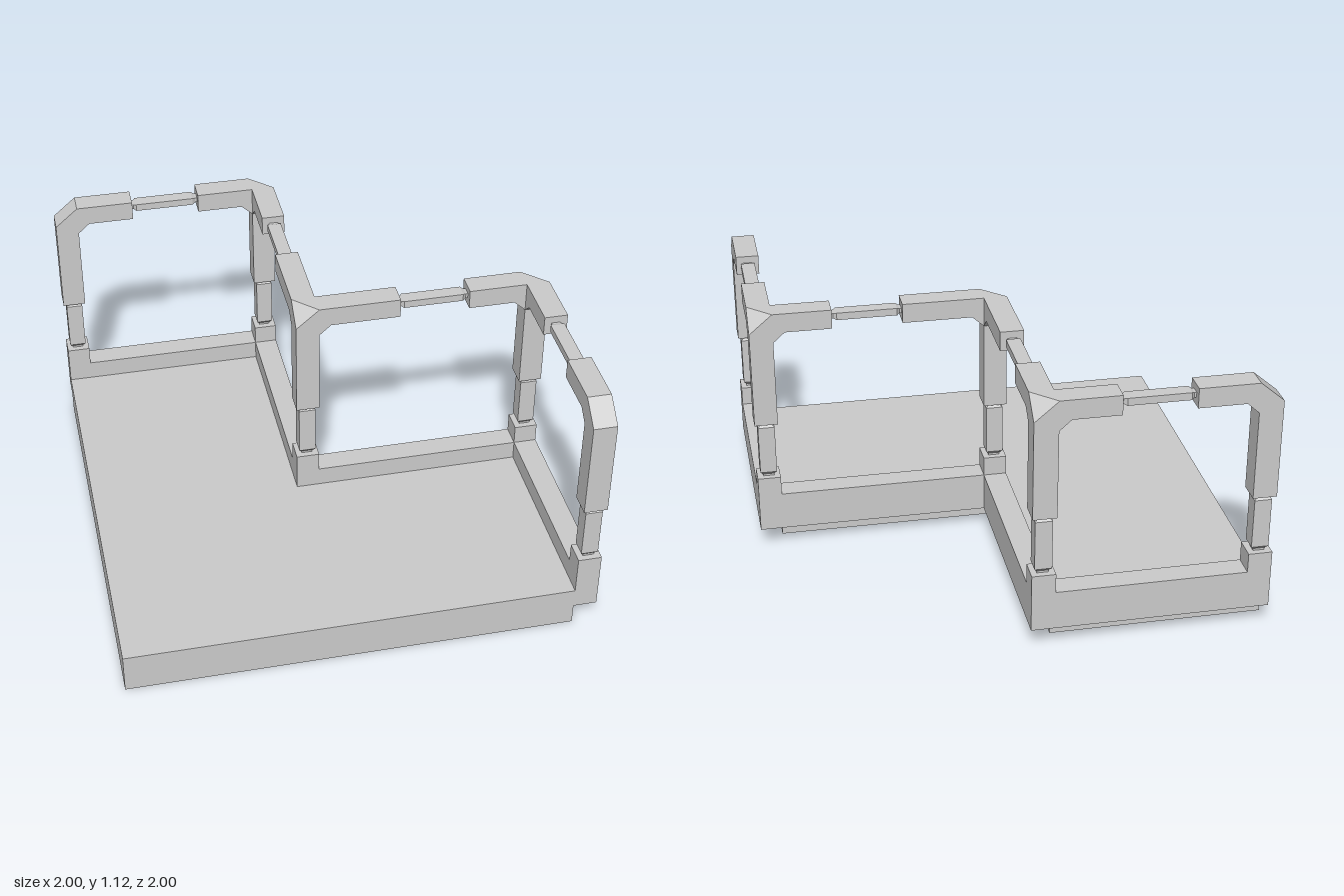
import * as THREE from 'three';
import { ConvexGeometry } from 'three/addons/geometries/ConvexGeometry.js';

const T = 0.1; // wall and post thickness
const POST_Y = 0.605, BEAM_Y = 1.035, TOP_Y = 1.12;

export function createModel() {
  const model = new THREE.Group();
  const material = new THREE.MeshStandardMaterial({ color: 0xcccccc, flatShading: true });

  function add(name, geometry, parent = model) {
    const mesh = new THREE.Mesh(geometry, material);
    mesh.name = name;
    parent.add(mesh);
    return mesh;
  }

  // Upright prism over an x,z outline
  function prism(outline, y0, y1) {
    const shape = new THREE.Shape(outline.map(([x, z]) => new THREE.Vector2(x, -z)));
    const g = new THREE.ExtrudeGeometry(shape, { depth: y1 - y0, bevelEnabled: false });
    return g.rotateX(-Math.PI / 2).translate(0, y0, 0);
  }

  // Side profile in x,y given the beam thickness along z
  function sideProfile(points) {
    const shape = new THREE.Shape(points.map(([x, y]) => new THREE.Vector2(x, y)));
    return new THREE.ExtrudeGeometry(shape, { depth: T, bevelEnabled: false });
  }

  // Square bar along y with tapered ends, centred on the origin
  function taperedBar(length, width, depth) {
    const h = length / 2;
    const points = [[0.66, -h], [0.66, -h + 0.009], [1, -h + 0.023], [1, h - 0.02], [0.66, h - 0.009], [0.66, h]]
      .map(([r, y]) => new THREE.Vector2(r * Math.SQRT1_2, y));
    return new THREE.LatheGeometry(points, 4).rotateY(Math.PI / 4).scale(width, 1, depth);
  }

  // Floor slab and the kerb on its stepped edge
  add('floor', prism([[-1, 1], [0.9, 1], [0.9, 0.1], [-0.1, 0.1], [-0.1, -0.9], [-1, -0.9]], 0, 0.175));
  add('kerb', prism([[-1, -1], [0, -1], [0, 0], [1, 0], [1, 1], [0.9, 1],
    [0.9, 0.1], [-0.1, 0.1], [-0.1, -0.9], [-1, -0.9]], 0.09, 0.26));

  // Post feet and narrow lower post sections
  const posts = [[-0.95, -0.95], [-0.05, -0.95], [-0.05, 0.05], [0.95, 0.05], [0.95, 0.95]];
  for (const [x, z] of posts) {
    add('postFoot', new THREE.BoxGeometry(T, 0.085, T)).position.set(x, 0.3025, z);
    add('postNeck', taperedBar(0.26, 0.072, 0.072)).position.set(x, 0.475, z);
  }

  // End posts: bevelled post and beam in one piece
  for (const [x, z, angle] of [[-1, -1, 0], [0.9, 1, Math.PI / 2]]) {
    const bracket = add('endPost', sideProfile([[0, POST_Y], [T, POST_Y], [T, 0.99], [0.15, BEAM_Y],
      [0.35, BEAM_Y], [0.35, TOP_Y], [T, TOP_Y], [0, BEAM_Y]]));
    bracket.position.set(x, 0, z);
    bracket.rotation.y = angle;
  }

  // Corner posts: post with a cut outer corner and two beam arms
  const corners = [[0, -1, -1, 0.35], [-0.1, 0.1, 1, 0.45], [1, 0, -1, 0.35]];
  for (const [x, z, turn, reach] of corners) {
    const corner = new THREE.Group();
    corner.name = 'cornerPost';
    corner.position.set(x, 0, z);
    corner.rotation.y = turn * Math.PI / 2;
    const points = [];
    for (const px of [0, T]) for (const pz of [0, T]) {
      points.push(new THREE.Vector3(px, POST_Y, pz));
      points.push(new THREE.Vector3(px, px + pz === 0 ? BEAM_Y : TOP_Y, pz));
    }
    add('post', new ConvexGeometry(points), corner);
    const arm = sideProfile([[T, 0.99], [0.15, BEAM_Y], [reach, BEAM_Y], [reach, TOP_Y], [T, TOP_Y]]);
    add('beamArm', arm, corner);
    const second = add('beamArm', arm, corner);
    second.rotation.y = -Math.PI / 2;
    second.position.x = T;
    model.add(corner);
  }

  // Thin bars joining the beams
  for (const [x, z, angle] of [[-0.5, -0.95, 0], [-0.05, -0.5, 1], [0.5, 0.05, 0], [0.95, 0.5, 1]]) {
    const bar = add('beamBar', taperedBar(0.3, 0.032, 0.06).rotateZ(Math.PI / 2));
    bar.position.set(x, 1.079, z);
    bar.rotation.y = angle * Math.PI / 2;
  }

  return model;
}
